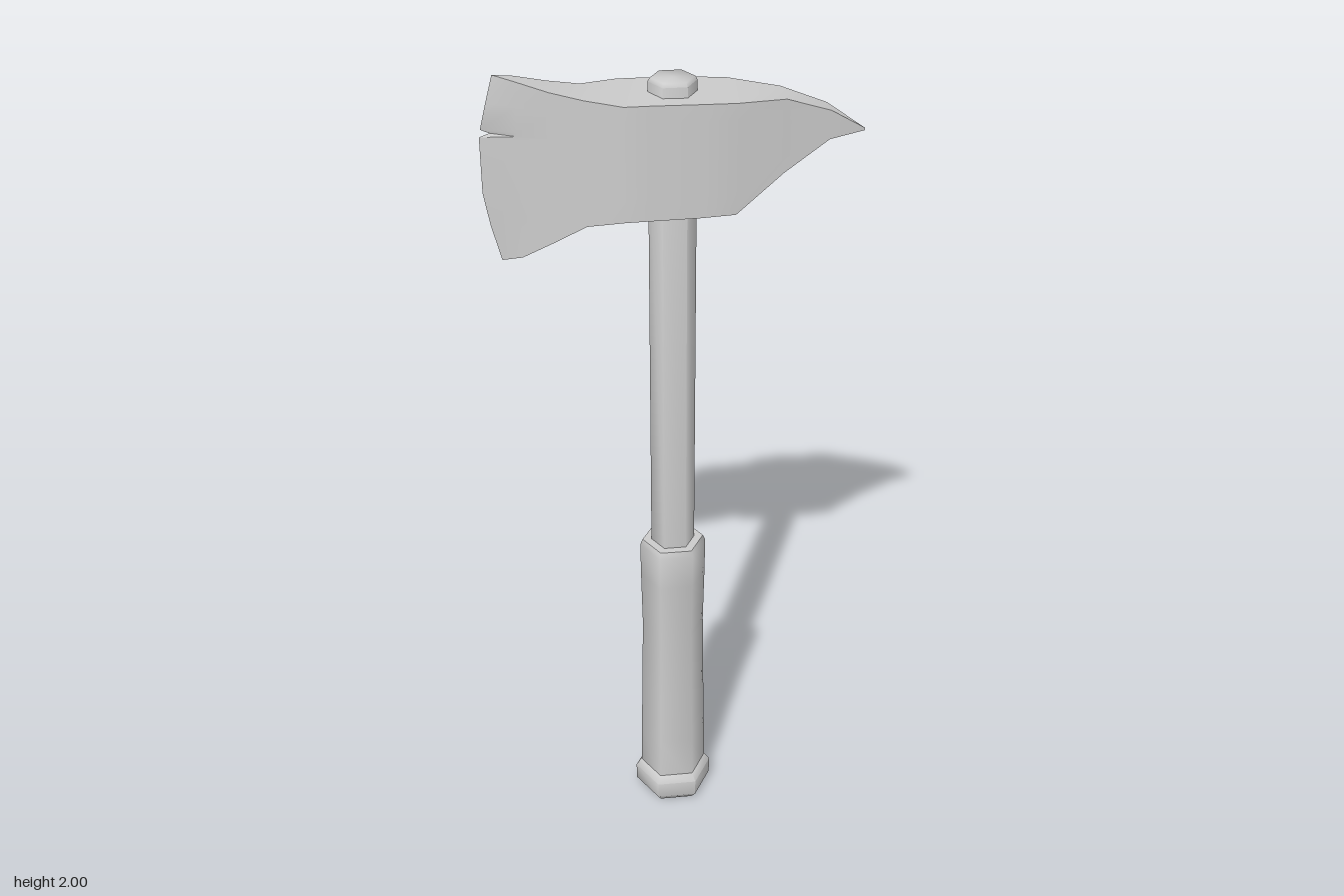
import * as THREE from 'three';
import { toCreasedNormals } from 'three/addons/utils/BufferGeometryUtils.js';

const material = new THREE.MeshStandardMaterial({ color: 0xcccccc });
const AXIS_X = -0.008; // the handle sits slightly off the head's middle

function addMesh(group, name, geometry, crease) {
  const mesh = new THREE.Mesh(toCreasedNormals(geometry, crease), material);
  mesh.name = name;
  group.add(mesh);
  return mesh;
}

// Six-sided turned part from [radius, y] pairs, corners pointing along x
function addHexPart(group, name, profile) {
  const points = profile.map(([r, y]) => new THREE.Vector2(r, y));
  const mesh = addMesh(group, name, new THREE.LatheGeometry(points, 6, Math.PI / 6), 1.1);
  mesh.position.x = AXIS_X;
}

// Head: cross-sections along x, from cutting edge to spike tip
function headGeometry() {
  // [x, bottom y, top y, half thickness]
  const sections = [
    [-0.385, 1.58, 2.0, 0],
    [-0.34, 1.592, 1.99, 0.018],
    [-0.27, 1.632, 1.97, 0.037],
    [-0.2, 1.672, 1.955, 0.052],
    [-0.12, 1.692, 1.95, 0.087],
    [-0.06, 1.693, 1.95, 0.087],
    [0.045, 1.694, 1.948, 0.086],
    [0.12, 1.695, 1.945, 0.08],
    [0.23, 1.77, 1.935, 0.041],
    [0.33, 1.835, 1.9, 0.025],
    [0.412, 1.842, 1.847, 0],
  ];
  // Height fractions and the bulge of the cutting edge there, with its nick
  const rows = [[0, 0], [0.2, -0.021], [0.38, -0.034], [0.68, -0.034],
    [0.7, -0.012], [0.72, -0.031], [0.86, -0.016], [1, 0]];

  const positions = [];
  const index = [];
  const ringSize = rows.length * 2;
  sections.forEach(([x, bottom, top, half], i) => {
    for (let j = 0; j < ringSize; j++) {
      const isFront = j < rows.length;
      const [t, bulge] = rows[isFront ? j : ringSize - 1 - j];
      positions.push(x + (i === 0 ? bulge : 0), bottom + (top - bottom) * t, isFront ? half : -half);
    }
    if (i === 0) return;
    for (let j = 0; j < ringSize; j++) {
      const k = (j + 1) % ringSize;
      const a = (i - 1) * ringSize;
      const b = i * ringSize;
      index.push(a + j, b + j, b + k, a + j, b + k, a + k);
    }
  });
  const geometry = new THREE.BufferGeometry();
  geometry.setAttribute('position', new THREE.Float32BufferAttribute(positions, 3));
  geometry.setIndex(index);
  return geometry;
}

export function createModel() {
  const group = new THREE.Group();
  group.name = 'axe';

  addMesh(group, 'axeHead', headGeometry(), 0.6);

  // Shaft running through the head, with its end showing on top
  addHexPart(group, 'shaft', [[0, 0.7], [0.053, 0.7], [0.053, 1.972], [0.048, 1.98], [0, 1.98]]);

  // Grip sleeve with a slight waist
  addHexPart(group, 'grip', [[0, 0.05], [0.085, 0.05], [0.083, 0.2], [0.08, 0.35],
    [0.077, 0.55], [0.08, 0.7], [0.081, 0.79], [0.075, 0.805], [0, 0.805]]);

  // Pommel with bevelled rims
  addHexPart(group, 'pommel', [[0, 0], [0.082, 0], [0.098, 0.02], [0.099, 0.065],
    [0.086, 0.085], [0, 0.085]]);

  return group;
}
